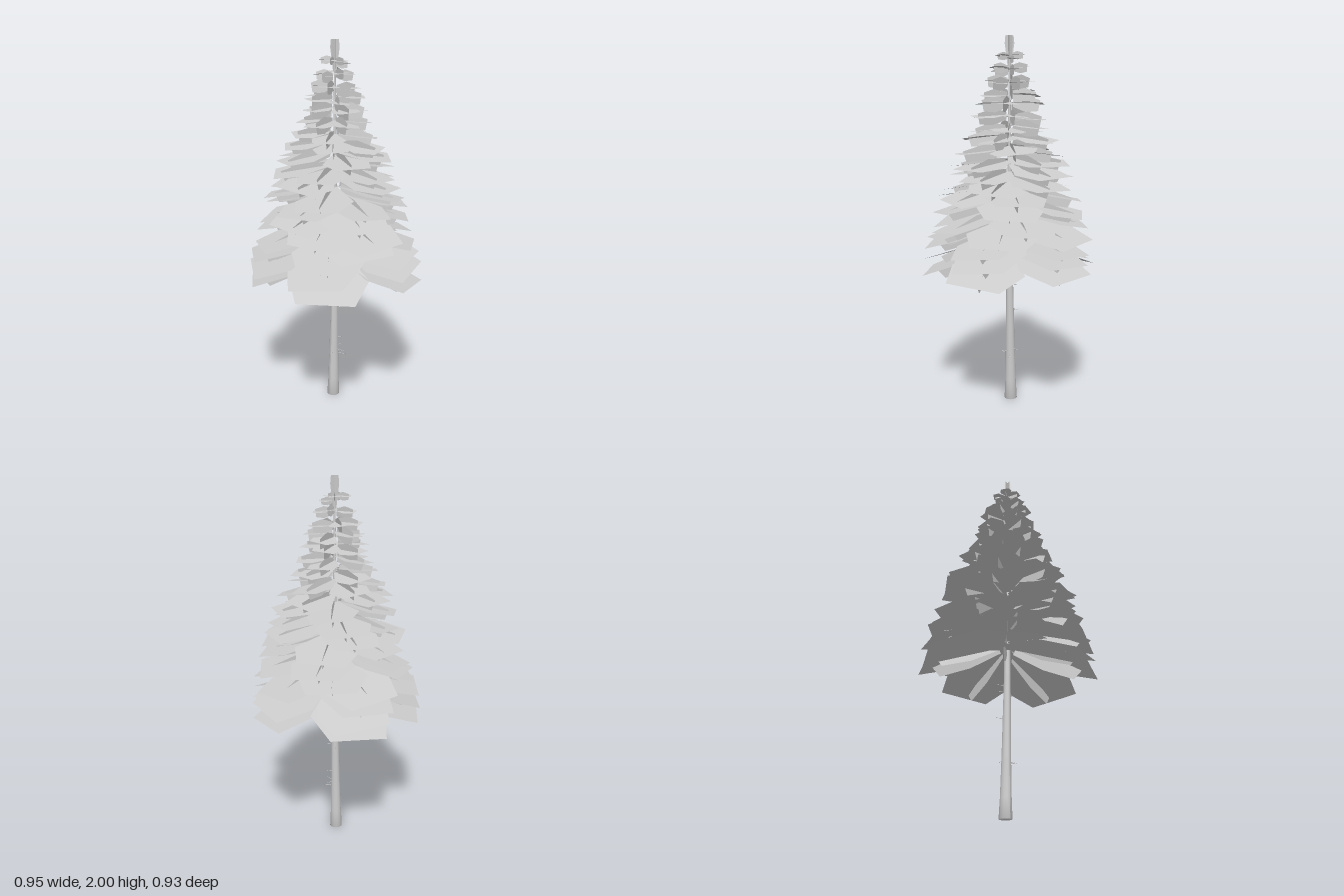
import * as THREE from 'three';

const grey = new THREE.MeshStandardMaterial({ color: 0xcccccc, side: THREE.DoubleSide });
grey.name = 'plain grey';

// Small seeded generator, returns -1..1
let seed = 7;
const jitter = () => {
  seed = (seed * 16807) % 2147483647;
  return (seed / 2147483647) * 2 - 1;
};

const part = (name, geometry, parent) => {
  const mesh = new THREE.Mesh(geometry, grey);
  mesh.name = name;
  parent.add(mesh);
  return mesh;
};

const card = (points) => new THREE.ShapeGeometry(new THREE.Shape(points.map(([x, y]) => new THREE.Vector2(x, y))));

// Crown radius by tip height
const profile = [[0.74, 0.455], [0.88, 0.445], [1.0, 0.415], [1.1, 0.385], [1.2, 0.36], [1.35, 0.315],
  [1.45, 0.255], [1.52, 0.215], [1.6, 0.195], [1.7, 0.16], [1.8, 0.125], [1.9, 0.075]];
function crownRadius(y) {
  for (let i = 1; i < profile.length; i++) {
    const [y0, r0] = profile[i - 1], [y1, r1] = profile[i];
    if (y <= y1) return THREE.MathUtils.lerp(r0, r1, (y - y0) / (y1 - y0));
  }
  return profile[profile.length - 1][1];
}

const trunkX = (y) => 0.012 * Math.min(1, y / 0.8);

export function createModel() {
  seed = 7;
  const tree = new THREE.Group();
  tree.name = 'conifer';

  // Trunk: flared foot, thin top, slight lean
  const rings = [[0, 0.035], [0.1, 0.03], [0.3, 0.025], [0.75, 0.018], [1.3, 0.011], [1.9, 0.004]];
  const trunkGeo = new THREE.LatheGeometry(
    [new THREE.Vector2(0, 0), ...rings.map(([y, r]) => new THREE.Vector2(r, y)), new THREE.Vector2(0, 1.9)], 12);
  const pos = trunkGeo.attributes.position;
  for (let i = 0; i < pos.count; i++) pos.setX(i, pos.getX(i) + trunkX(pos.getY(i)));
  trunkGeo.computeVertexNormals();
  part('trunk', trunkGeo, tree);

  // Needle sprays: one flat card crossed by one upright card
  const flatGeo = card([[0.03, -0.05], [0.6, -0.43], [1, -0.31], [1.01, 0.31], [0.6, 0.43], [0.03, 0.05]]);
  flatGeo.rotateX(-Math.PI / 2);
  const finGeo = card([[0.1, -0.5], [0.5, -1], [0.86, -0.8], [0.9, 0.4], [0.5, 0.8], [0.1, 0.4]]);

  const layers = 19;
  for (let k = 0; k < layers; k++) {
    const t = k / (layers - 1);
    const tipY = 0.745 + 1.145 * t;
    const layer = new THREE.Group();
    layer.name = 'branchLayer' + (k + 1);
    tree.add(layer);
    // The lowest layers stack in five lobes, the upper ones fan out
    const turn = 0.17 + (k < 3 ? 0.02 * k : 0.12 * k + (k % 3 === 1 ? 0.45 : 0));
    const spread = k < 3 ? 0.08 : 0.25;
    for (let i = 0; i < 5; i++) {
      const droop = 0.33 * Math.pow(1 - t, 1.4) + 0.04 * jitter();
      const length = (crownRadius(tipY) / Math.cos(droop)) * (0.98 + 0.03 * jitter());
      const branch = new THREE.Group();
      branch.name = 'branch';
      branch.position.set(trunkX(tipY) * 0.8, tipY + length * Math.sin(droop) + 0.015 * jitter(), 0);
      branch.rotation.order = 'YZX';
      branch.rotation.set(0.14 * jitter(), turn + (i * Math.PI * 2) / 5 + spread * jitter(), -droop);
      layer.add(branch);
      part('flatSpray', flatGeo, branch).scale.set(length, 1, length);
      const fin = part('uprightSpray', finGeo, branch);
      fin.scale.set(length, Math.min(0.048, 0.3 * length), 1);
      fin.rotation.z = -0.25 * droop;
    }
  }

  // Leader: crossed upright cards at the very top
  const leaderGeo = card([[-0.01, 1.84], [0.01, 1.84], [0.026, 1.96], [0.022, 2], [-0.022, 2], [-0.026, 1.96]]);
  for (let i = 0; i < 3; i++) {
    const leader = part('leader', leaderGeo, tree);
    leader.position.x = 0.012;
    leader.rotation.y = 0.3 + (i * Math.PI) / 3;
  }

  // Dead twigs on the bare trunk: height, heading, length
  const twigGeo = new THREE.CylinderGeometry(0.001, 0.0025, 1, 5);
  twigGeo.rotateZ(-Math.PI / 2).translate(0.5, 0, 0);
  const twigs = [[0.26, 0.5, 0.07], [0.285, 0, 0.07], [0.29, 1.5, 0.06], [0.27, -1.3, 0.05], [0.35, 0.8, 0.05],
    [0.51, 2.5, 0.055], [0.53, 1.2, 0.05], [0.65, 0.3, 0.05], [0.66, 2.2, 0.05], [0.69, 2.8, 0.06], [0.7, 0.6, 0.06]];
  for (const [y, heading, length] of twigs) {
    const twig = part('twig', twigGeo, tree);
    twig.position.set(trunkX(y), y, 0);
    twig.rotation.order = 'YZX';
    twig.rotation.set(0, heading, 0.1 * jitter());
    twig.scale.x = length;
  }
  return tree;
}
